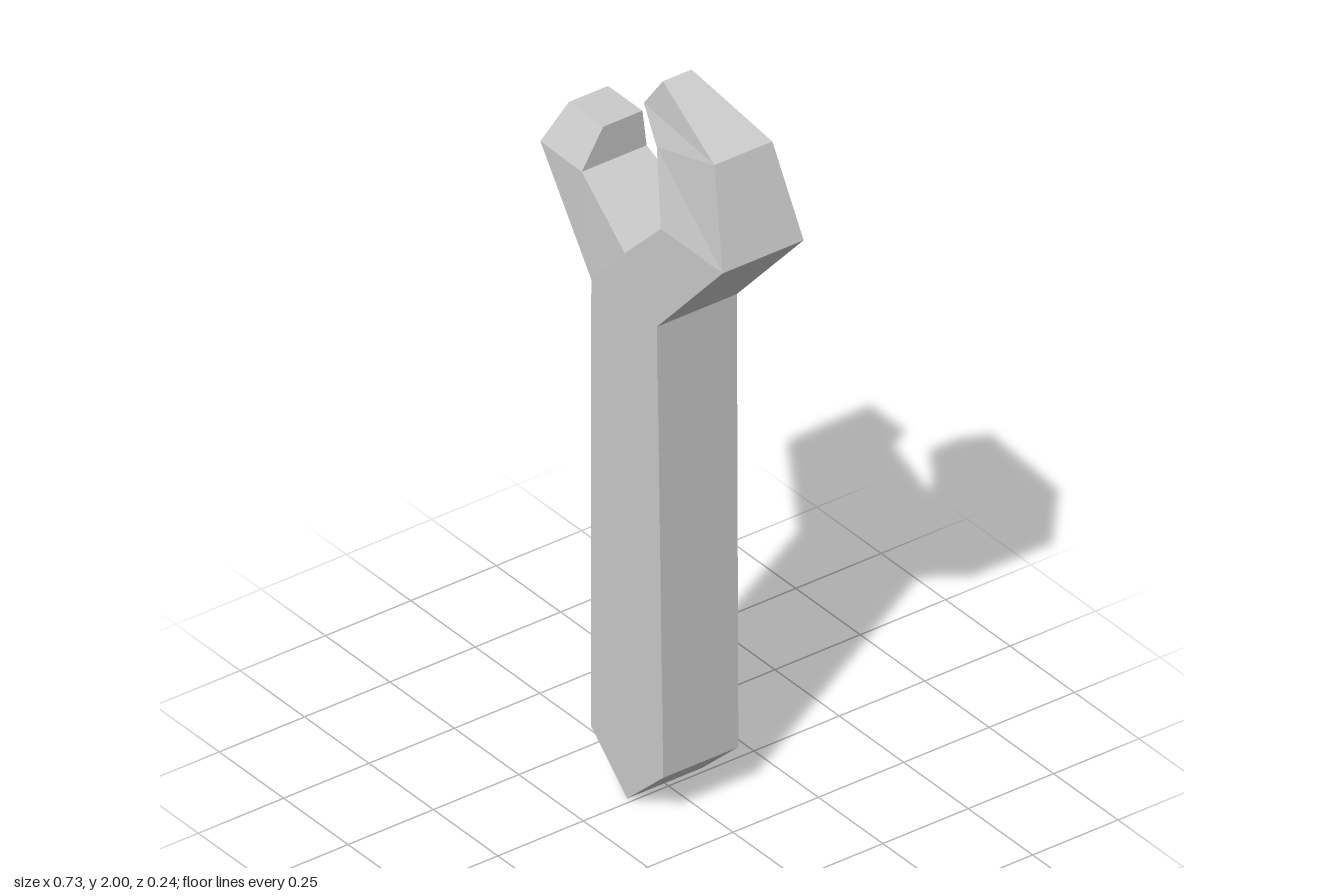
import * as THREE from 'three';

// Outline of the spanner, counter-clockwise from the front: x, y, front z, back z
const outline = [
  [-0.015, 0, 0.11, -0.11],      // 0 handle tip
  [0.125, 0.13, 0.11, -0.11],
  [0.11, 1.38, 0.117, -0.117],
  [0.365, 1.66, 0.117, -0.12],   // 3 long jaw, outer side
  [0.29, 1.91, 0.085, -0.085],
  [0.04, 2.0, 0.047, -0.037],
  [-0.03, 1.905, 0.05, -0.035],  // 6 long jaw, inner side
  [0.06, 1.84, 0.08, -0.08],
  [0.125, 1.66, 0.117, -0.12],
  [-0.015, 1.52, 0.117, -0.12],  // 9 throat
  [-0.195, 1.65, 0.107, -0.083], // 10 short jaw
  [-0.19, 1.755, 0.048, -0.067],
  [-0.33, 1.75, 0.043, -0.072],
  [-0.365, 1.645, 0.1, -0.105],
  [-0.145, 1.38, 0.117, -0.117], // 14 handle, right side
  [-0.155, 0.13, 0.11, -0.11],
];

// Panels of each part, as corners of the outline
const parts = {
  handle: [[0, 1, 15], [15, 1, 2, 14]],
  headBase: [[14, 2, 9]],
  longJaw: [[2, 3, 8, 9], [3, 4, 7, 8], [4, 5, 6, 7]],
  shortJaw: [[14, 9, 10, 13], [13, 10, 11, 12]],
};

const front = (i) => [outline[i][0], outline[i][1], outline[i][2]];
const back = (i) => [outline[i][0], outline[i][1], outline[i][3]];

// Front and back panels, plus side walls only where a panel edge lies on the outline
function slab(panels) {
  const positions = [];
  const addFace = (corners) => {
    for (let k = 1; k < corners.length - 1; k++) {
      positions.push(...corners[0], ...corners[k], ...corners[k + 1]);
    }
  };
  for (const panel of panels) {
    addFace(panel.map(front));
    addFace([...panel].reverse().map(back));
    panel.forEach((a, k) => {
      const b = panel[(k + 1) % panel.length];
      if (b === (a + 1) % outline.length) addFace([front(a), back(a), back(b), front(b)]);
    });
  }
  const geometry = new THREE.BufferGeometry();
  geometry.setAttribute('position', new THREE.Float32BufferAttribute(positions, 3));
  geometry.computeVertexNormals();
  return geometry;
}

export function createModel() {
  const group = new THREE.Group();
  group.name = 'spanner';
  const material = new THREE.MeshStandardMaterial({ color: 0xcccccc, flatShading: true });
  for (const [name, panels] of Object.entries(parts)) {
    const mesh = new THREE.Mesh(slab(panels), material);
    mesh.name = name;
    group.add(mesh);
  }
  return group;
}
